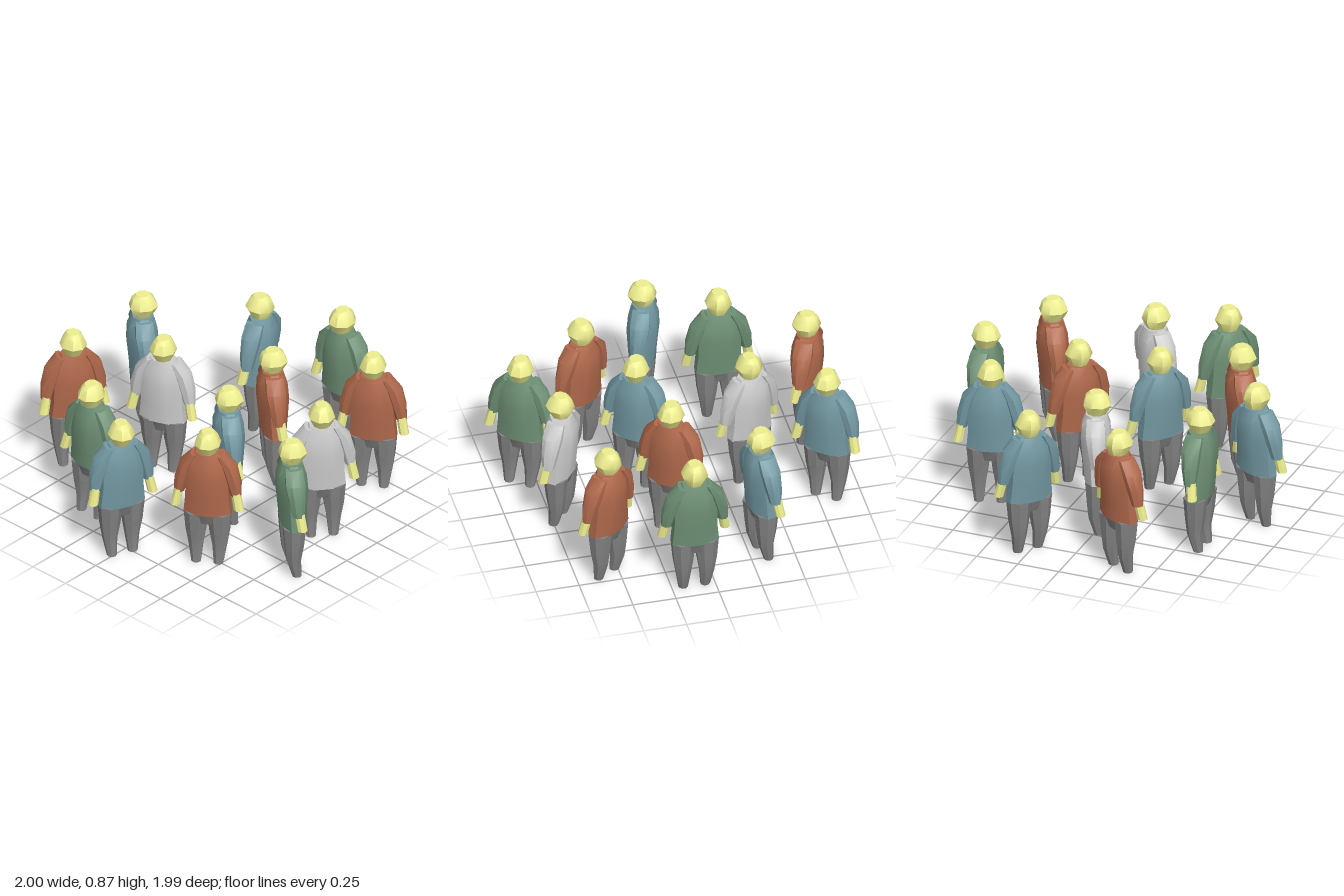
import * as THREE from 'three';
import { toCreasedNormals } from 'three/addons/utils/BufferGeometryUtils.js';

const SIDES = 8;

// Capped loft through horizontal oval sections [cx, y, cz, rx, rz], bottom to top
function loft(sections) {
  const pos = [], index = [];
  for (const [cx, y, cz, rx, rz] of sections) {
    for (let i = 0; i < SIDES; i++) {
      const a = ((i + 0.5) / SIDES) * Math.PI * 2;
      const k = 1 / Math.cos(Math.PI / SIDES);
      pos.push(cx + Math.sin(a) * rx * k, y, cz + Math.cos(a) * rz * k);
    }
  }
  const last = (sections.length - 1) * SIDES;
  for (let s = 0; s < last; s += SIDES) {
    for (let i = 0; i < SIDES; i++) {
      const j = (i + 1) % SIDES;
      index.push(s + i, s + j, s + SIDES + j, s + i, s + SIDES + j, s + SIDES + i);
    }
  }
  for (let i = 1; i < SIDES - 1; i++) {
    index.push(0, i + 1, i, last, last + i, last + i + 1);
  }
  const g = new THREE.BufferGeometry();
  g.setAttribute('position', new THREE.Float32BufferAttribute(pos, 3));
  g.setIndex(index);
  return toCreasedNormals(g, 0.75);
}

const mirrorX = (sections) => sections.map(([x, ...rest]) => [-x, ...rest]);

const material = (color) => new THREE.MeshStandardMaterial({ color });

export function createModel() {
  const skin = material(0xeeee90);
  const trousers = material(0x838383);
  const shirts = {
    green: material(0x6f9176),
    blue: material(0x7499a3),
    brown: material(0xb0694c),
    grey: material(0xcccccc),
  };

  const sleeve = [
    [0.162, 0.46, 0.005, 0.030, 0.032],
    [0.145, 0.55, 0, 0.043, 0.045],
    [0.118, 0.65, -0.005, 0.044, 0.055],
    [0.075, 0.72, -0.005, 0.022, 0.05],
  ];
  const forearm = [
    [0.182, 0.375, 0.025, 0.027, 0.027],
    [0.158, 0.5, 0.008, 0.025, 0.027],
  ];
  const leg = [
    [0.064, 0, 0.015, 0.026, 0.026],
    [0.068, 0.11, -0.005, 0.040, 0.040],
    [0.068, 0.21, -0.002, 0.056, 0.053],
    [0.067, 0.335, 0, 0.067, 0.064],
  ];

  const geo = {
    torso: loft([
      [0, 0.33, 0, 0.135, 0.066],
      [0, 0.44, 0, 0.124, 0.076],
      [0, 0.56, -0.002, 0.122, 0.086],
      [0, 0.66, -0.004, 0.112, 0.08],
      [0, 0.73, -0.002, 0.07, 0.058],
    ]),
    hips: loft([
      [0, 0.265, 0, 0.07, 0.045],
      [0, 0.332, 0, 0.134, 0.065],
    ]),
    head: loft([
      [0, 0.72, 0, 0.042, 0.045],
      [0, 0.788, 0.003, 0.072, 0.078],
      [0, 0.842, 0, 0.052, 0.06],
      [0, 0.865, 0, 0.034, 0.038],
    ]),
    leftSleeve: loft(sleeve),
    rightSleeve: loft(mirrorX(sleeve)),
    leftForearm: loft(forearm),
    rightForearm: loft(mirrorX(forearm)),
    leftLeg: loft(leg),
    rightLeg: loft(mirrorX(leg)),
  };

  function person(shirt) {
    const g = new THREE.Group();
    for (const [name, geometry] of Object.entries(geo)) {
      const mat = /head|Forearm/.test(name) ? skin : /hips|Leg/.test(name) ? trousers : shirt;
      const mesh = new THREE.Mesh(geometry, mat);
      mesh.name = name;
      g.add(mesh);
    }
    return g;
  }

  // Crowd layout: shirt, x, z, turn
  const back = Math.PI;
  const crowd = [
    ['green', 0.12, -0.91, 0],
    ['blue', -0.315, -0.70, -1.30],
    ['brown', 0.565, -0.685, 0.567],
    ['brown', 0.115, -0.34, -0.635 + back],
    ['blue', -0.81, -0.26, -0.66 + back],
    ['blue', 0.205, 0.12, -0.65 + back],
    ['green', 0.835, 0.275, -0.63 + back],
    ['grey', 0.70, -0.115, 0.905],
    ['grey', -0.42, -0.01, 0.38],
    ['brown', -0.83, 0.295, 1.08],
    ['blue', 0, 0.79, 1.16],
    ['brown', 0.42, 0.525, 0.567],
    ['green', -0.395, 0.61, 0],
  ];

  const model = new THREE.Group();
  model.name = 'crowd';
  crowd.forEach(([shirt, x, z, turn], i) => {
    const p = person(shirts[shirt]);
    p.name = `person${i + 1}`;
    p.position.set(x, 0, z);
    p.rotation.y = turn;
    model.add(p);
  });
  return model;
}
